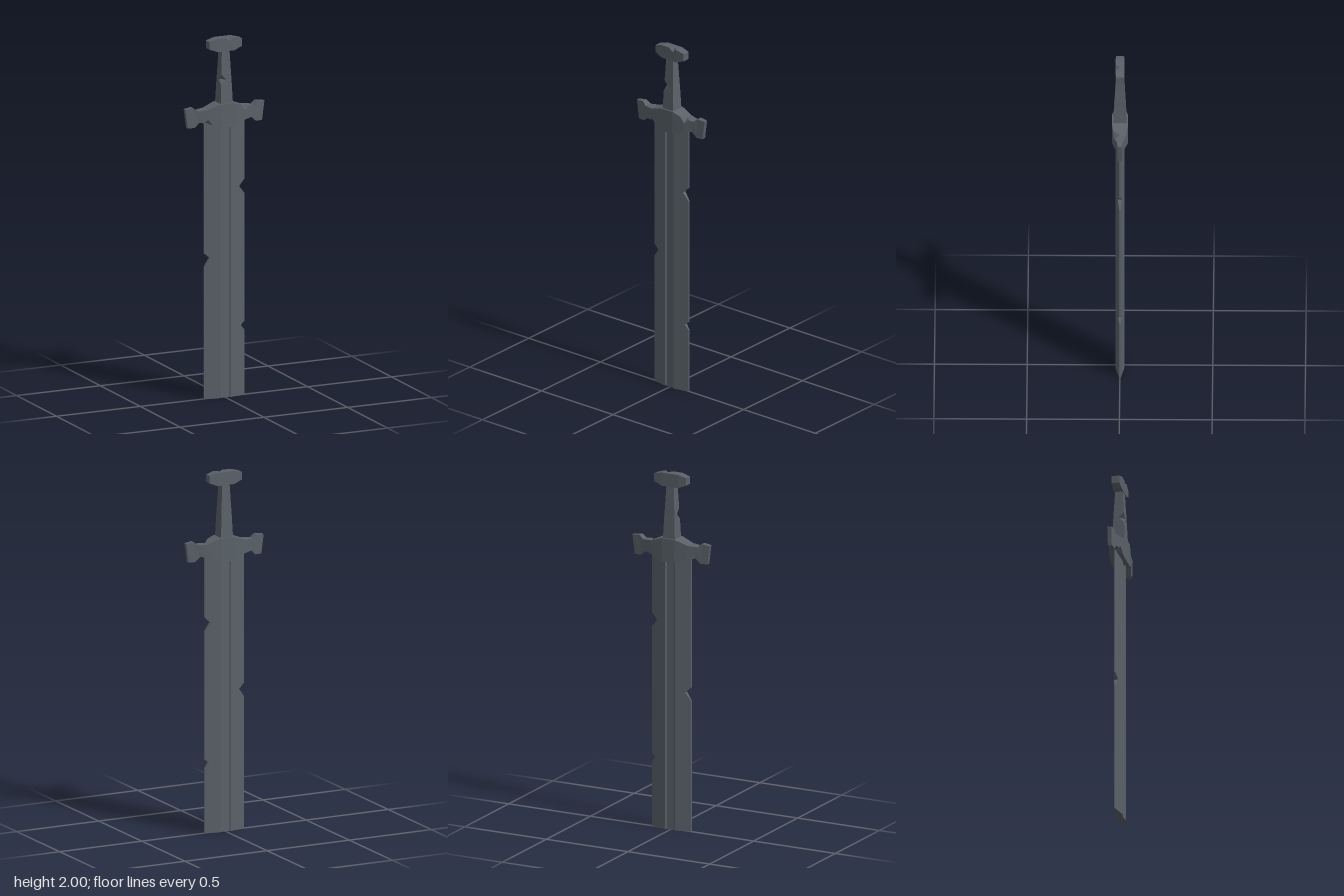
import * as THREE from 'three';

const steel = new THREE.MeshStandardMaterial({ color: 0x596168 });
steel.name = 'dark steel';

// Skin a list of rings with flat facets and close both ends with fans.
function loft(name, rings) {
  const pos = [];
  const n = rings[0].length;
  const tri = (a, b, c) => pos.push(...a, ...b, ...c);
  const centre = r => [0, 1, 2].map(k => r.reduce((s, p) => s + p[k], 0) / n);
  for (let k = 0; k < rings.length - 1; k++) {
    const a = rings[k], b = rings[k + 1];
    for (let i = 0; i < n; i++) {
      const j = (i + 1) % n;
      tri(a[i], a[j], b[j]);
      tri(a[i], b[j], b[i]);
    }
  }
  const first = rings[0], last = rings[rings.length - 1];
  for (let i = 0; i < n; i++) {
    const j = (i + 1) % n;
    tri(centre(first), first[j], first[i]);
    tri(centre(last), last[i], last[j]);
  }
  const geo = new THREE.BufferGeometry();
  geo.setAttribute('position', new THREE.Float32BufferAttribute(pos, 3));
  geo.computeVertexNormals();
  const mesh = new THREE.Mesh(geo, steel);
  mesh.name = name;
  return mesh;
}

// Blade section: bevels rising to a shallow central fuller; insets cut the edges.
function bladeRing(y, insetLeft, insetRight) {
  const edgeZ = d => 0.004 + d * 0.22;
  const l = -0.12 + insetLeft, r = 0.12 - insetRight;
  const zl = edgeZ(insetLeft), zr = edgeZ(insetRight);
  const front = [[l, zl], [-0.03, 0.024], [-0.021, 0.017], [0.021, 0.017], [0.03, 0.024], [r, zr]];
  const back = front.map(([x, z]) => [x, -z]).reverse();
  return [...front, ...back].map(([x, z]) => [x, y, z]);
}

// Section across a part running along x; chips cut its front top or bottom corner.
function crossRing({ xt, xb, top, bottom, z, chipTop = 0, chipBottom = 0 }) {
  return [
    [xt, top, -z],
    [xt, top, chipTop ? 0 : z],
    [xt, top - chipTop, z],
    [xb, bottom + chipBottom, z],
    [xb, bottom, chipBottom ? 0 : z],
    [xb, bottom, -z],
  ];
}

// Mirror half stations [xTop, xBottom, top, bottom, z], listed from centre outwards.
function mirrored(half) {
  const make = s => ([xt, xb, top, bottom, z]) => ({ xt: s * xt, xb: s * xb, top, bottom, z });
  return [...half.map(make(-1)).reverse(), ...half.map(make(1))];
}

function createModel() {
  const group = new THREE.Group();
  group.name = 'sword';

  // Blade with three nicks along its edges
  group.add(loft('blade', [
    [0, 0, 0], [0.36, 0, 0], [0.39, 0, 0.024], [0.41, 0, 0],
    [0.735, 0, 0], [0.78, 0.034, 0], [0.81, 0, 0],
    [1.12, 0, 0], [1.165, 0, 0.035], [1.2, 0, 0], [1.57, 0, 0],
  ].map(s => bladeRing(...s))));

  // Crossguard with flared ends and two chipped corners
  const guard = mirrored([
    [0.04, 0.036, 1.638, 1.507, 0.044],
    [0.085, 0.085, 1.622, 1.526, 0.037],
    [0.112, 0.11, 1.612, 1.536, 0.033],
    [0.14, 0.135, 1.61, 1.54, 0.027],
    [0.167, 0.156, 1.608, 1.544, 0.021],
    [0.19, 0.183, 1.628, 1.517, 0.016],
    [0.236, 0.222, 1.623, 1.517, 0.011],
  ]);
  guard.find(s => s.xt === 0.112).chipTop = 0.025;
  guard.find(s => s.xt === -0.112).chipBottom = 0.022;
  group.add(loft('crossguard', guard.map(crossRing)));

  // Tapered grip with a chip in its front right corner
  const gripRing = ([y, w, d, chip]) => [
    [-w, y, d - chip], [-w + chip, y, d], [w, y, d], [w, y, -d], [-w, y, -d],
  ];
  group.add(loft('grip', [
    [1.6, 0.038, 0.037, 0], [1.74, 0.032, 0.031, 0], [1.77, 0.031, 0.029, 0.03],
    [1.8, 0.029, 0.028, 0], [1.95, 0.022, 0.02, 0],
  ].map(gripRing)));

  // Pommel bar with a chip in its front top edge
  const pommel = mirrored([
    [0.05, 0.05, 2, 1.926, 0.025],
    [0.098, 0.098, 1.987, 1.945, 0.021],
  ]);
  const mid = (xt, chipTop) => ({ xt, xb: xt, top: 2, bottom: 1.926, z: 0.025, chipTop });
  pommel.splice(2, 0, mid(0, 0), mid(0.025, 0.02));
  group.add(loft('pommel', pommel.map(crossRing)));

  return group;
}

export { createModel };
